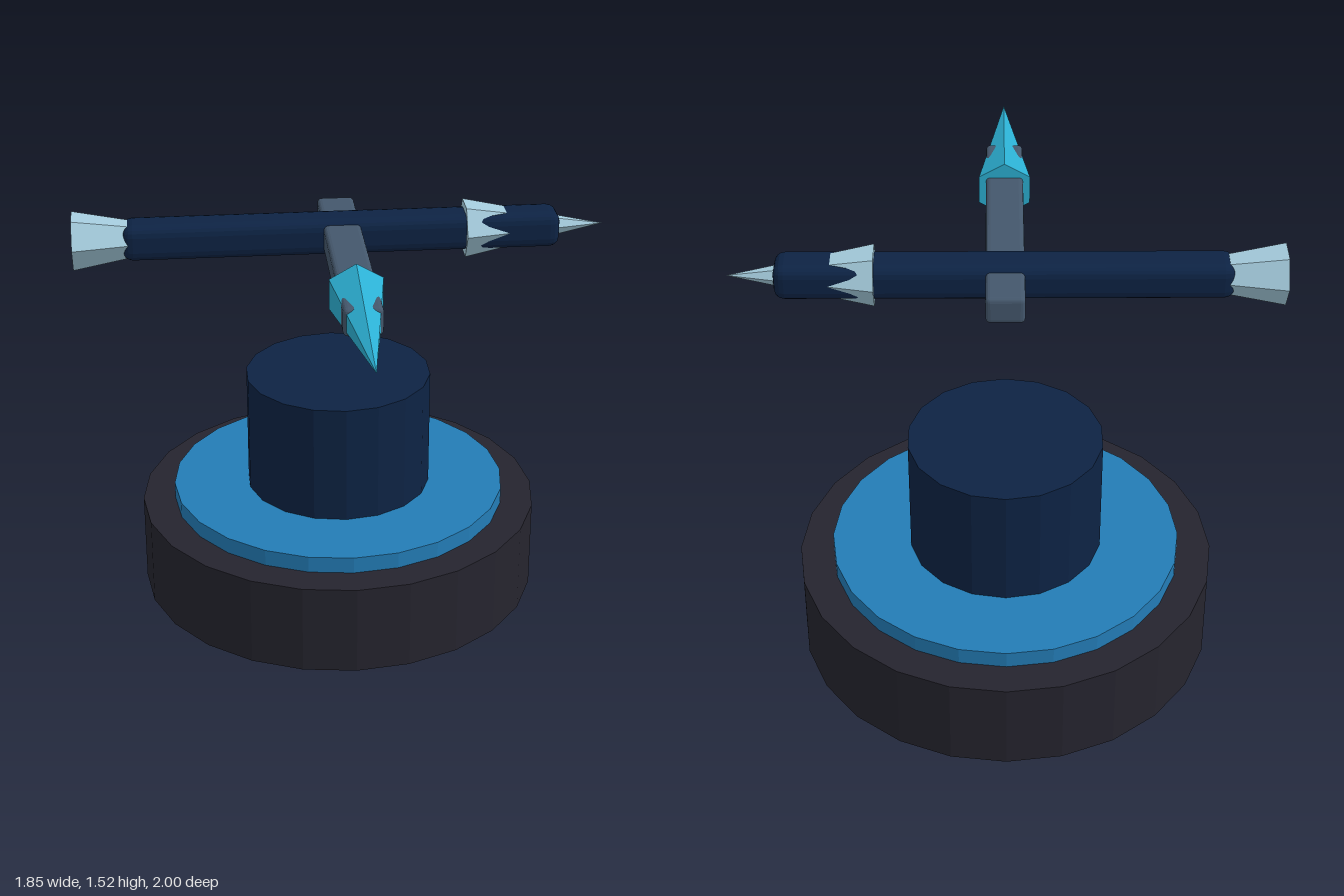
import * as THREE from 'three';
import { RoundedBoxGeometry } from 'three/addons/geometries/RoundedBoxGeometry.js';

const material = (name, color) => {
  const m = new THREE.MeshStandardMaterial({ color });
  m.name = name;
  return m;
};

// Facet a geometry so every face keeps its own normal
const facet = (geometry) => {
  const g = geometry.index ? geometry.toNonIndexed() : geometry;
  g.computeVertexNormals();
  return g;
};

export function createModel() {
  const charcoal = material('charcoal', 0x25242e);
  const blue = material('blue', 0x237cb6);
  const navy = material('navy', 0x0d2344);
  const slate = material('slate', 0x44576c);
  const cyan = material('cyan', 0x2cb0d3);
  const paleSteel = material('paleSteel', 0xa4cbdc);

  const group = new THREE.Group();
  group.name = 'turret';
  const add = (name, geometry, mat, x, y, z) => {
    const mesh = new THREE.Mesh(facet(geometry), mat);
    mesh.name = name;
    mesh.position.set(x, y, z);
    group.add(mesh);
    return mesh;
  };

  // Stacked drums of the stand
  const drum = (name, radius, bottom, top, sides, mat) =>
    add(name, new THREE.CylinderGeometry(radius, radius, top - bottom, sides), mat,
      0, (bottom + top) / 2, -0.27);
  drum('base', 0.73, 0, 0.33, 24, charcoal);
  drum('disc', 0.612, 0.33, 0.39, 24, blue);
  drum('column', 0.338, 0.39, 0.826, 18, navy);

  // Crossed bars floating above the stand
  const barY = 1.414;
  const crossZ = -0.155;
  add('crossBar', new RoundedBoxGeometry(1.52, 0.126, 0.142, 2, 0.036), navy, 0.003, barY, crossZ);
  add('barrel', new RoundedBoxGeometry(0.13, 0.097, 1.005, 2, 0.016), slate, 0, barY, 0.1275);

  // Six-sided spikes, pushed over the bars
  const spike = (length) => new THREE.ConeGeometry(0.103, length, 6);
  add('barrelSpike', spike(0.61).rotateX(Math.PI / 2), cyan, 0, barY, 0.695);
  add('leftSpike', spike(0.49).rotateZ(-Math.PI / 2), paleSteel, 0.677, barY, crossZ);
  add('rightFlare', spike(0.55).rotateZ(-Math.PI / 2), paleSteel, -0.653, barY, crossZ);

  return group;
}
